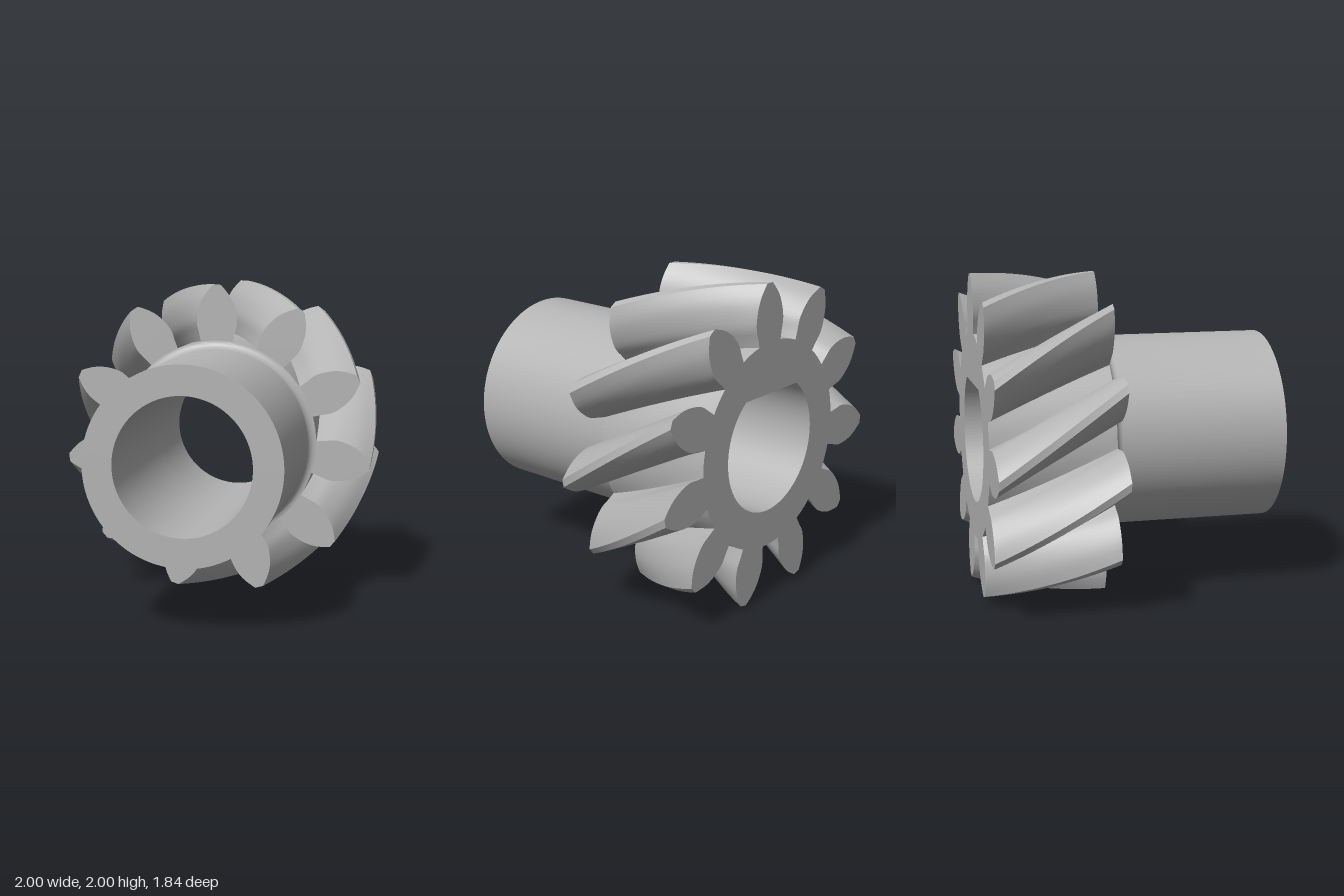
import * as THREE from 'three';
import { toCreasedNormals } from 'three/addons/utils/BufferGeometryUtils.js';

const TEETH = 11, PITCH = (2 * Math.PI) / TEETH, DEG = Math.PI / 180;
const BACK = -0.92, GEAR_FRONT = -0.155, FRONT = 0.92;
const ROOT = 0.645, BORE = 0.415, HUB = 0.595, CORE = 0.53;
const TWIST = 30 * DEG;

// Outline of all teeth, counter-clockwise, from polar points
function gearShape() {
  // Tooth flank: x = half angle in degrees, y = radius
  const flank = new THREE.SplineCurve([
    [9.3, ROOT], [9.5, 0.7], [9.8, 0.77], [8.1, 0.85], [5.5, 0.925], [1.5, 1],
  ].map(([a, r]) => new THREE.Vector2(a, r))).getPoints(14);
  const pts = [];
  const add = (angle, r) => pts.push(new THREE.Vector2(Math.cos(angle) * r, Math.sin(angle) * r));
  for (let i = 0; i < TEETH; i++) {
    const mid = Math.PI / 2 + i * PITCH;
    flank.forEach(p => add(mid - p.x * DEG, p.y));
    [...flank].reverse().forEach(p => add(mid + p.x * DEG, p.y));
    const start = mid + flank[0].x * DEG, gap = PITCH - 2 * flank[0].x * DEG;
    for (let k = 1; k < 4; k++) add(start + (gap * k) / 4, ROOT);
  }
  return new THREE.Shape(pts);
}

// Turn each slice about the axis to make the teeth helical
function twist(geometry) {
  const p = geometry.attributes.position;
  for (let i = 0; i < p.count; i++) {
    const a = (TWIST * (GEAR_FRONT - p.getZ(i))) / (GEAR_FRONT - BACK);
    const x = p.getX(i), y = p.getY(i), c = Math.cos(a), s = Math.sin(a);
    p.setXY(i, x * c - y * s, x * s + y * c);
  }
  return geometry;
}

export function createModel() {
  const model = new THREE.Group();
  model.name = 'helicalPinion';
  const steel = new THREE.MeshStandardMaterial({ color: 0xb4b4b4 });
  steel.name = 'grey steel';

  const addPart = (name, geometry) => {
    const mesh = new THREE.Mesh(toCreasedNormals(geometry, 0.5), steel);
    mesh.name = name;
    mesh.position.y = 1;
    model.add(mesh);
  };

  // Helical toothed ring
  const gear = gearShape();
  gear.holes.push(new THREE.Path().absarc(0, 0, CORE, 0, 2 * Math.PI, true));
  const gearGeo = new THREE.ExtrudeGeometry(gear, {
    depth: GEAR_FRONT - BACK, steps: 20, bevelEnabled: false, curveSegments: 48,
  });
  gearGeo.translate(0, 0, BACK);
  addPart('helicalTeeth', twist(gearGeo));

  // Core with the D-shaped bore; the flat ends inside the gear
  const core = new THREE.Shape().absarc(0, 0, CORE, 0, 2 * Math.PI, false);
  const flat = Math.asin(0.33 / BORE);
  core.holes.push(new THREE.Path().absarc(0, 0, BORE, Math.PI - flat, 2 * Math.PI + flat, false));
  const coreGeo = new THREE.ExtrudeGeometry(core, {
    depth: 0.56, bevelEnabled: false, curveSegments: 48,
  });
  coreGeo.translate(0, 0, BACK);
  addPart('boreCore', coreGeo);

  // Hub sleeve: fillet, outer wall, end face, round bore
  const profile = [];
  for (let k = 0; k <= 8; k++) {
    const a = Math.PI * (1.5 - k / 16);
    profile.push(new THREE.Vector2(ROOT + 0.05 * Math.cos(a), GEAR_FRONT + 0.05 + 0.05 * Math.sin(a)));
  }
  [[HUB, FRONT], [BORE, FRONT], [BORE, BACK + 0.56]].forEach(([r, z]) => profile.push(new THREE.Vector2(r, z)));
  addPart('hubSleeve', new THREE.LatheGeometry(profile, 96).rotateX(Math.PI / 2));

  return model;
}
